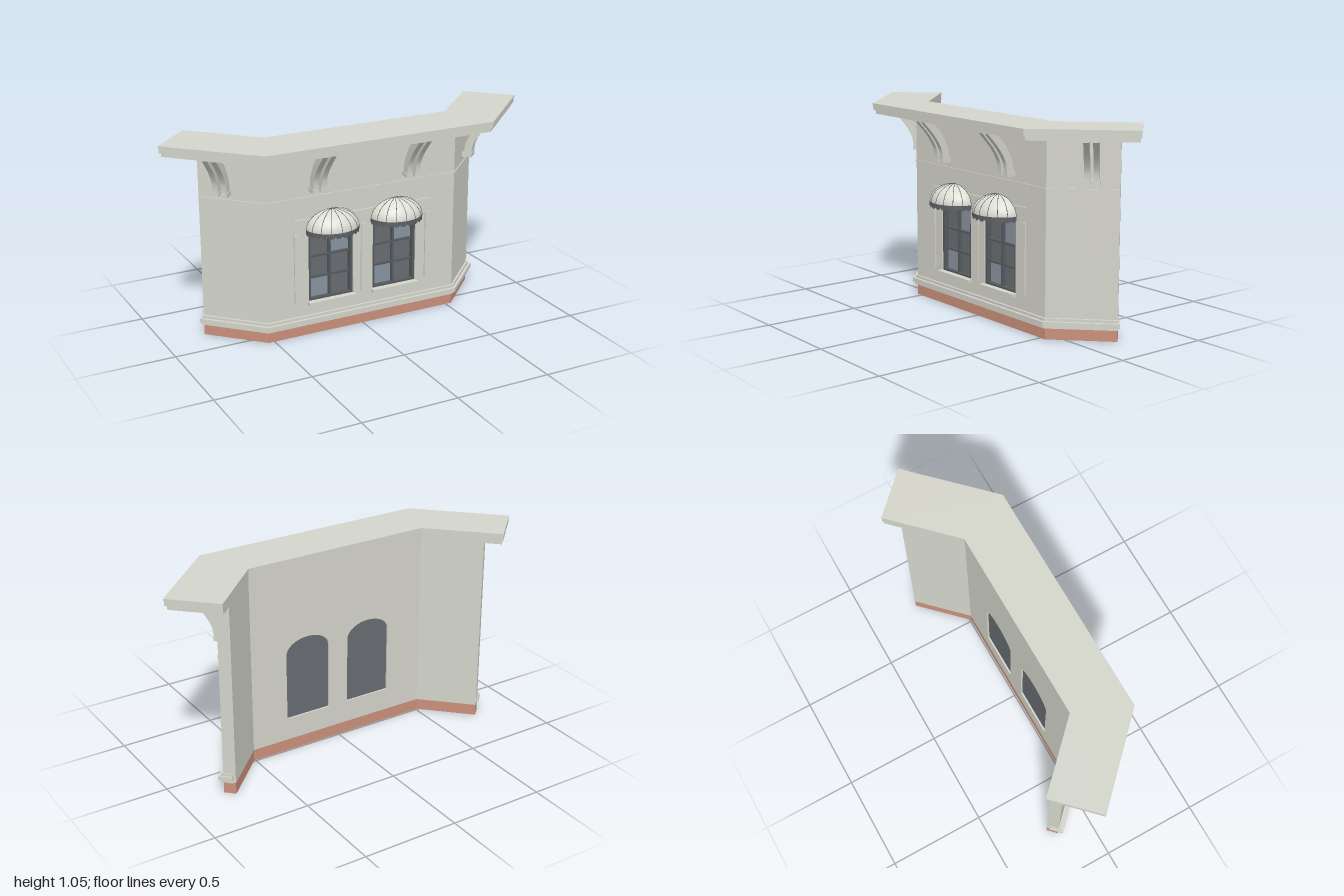
import * as THREE from 'three';

const mat = (name, color, side = THREE.FrontSide) => {
  const m = new THREE.MeshStandardMaterial({ color, side });
  m.name = name;
  return m;
};

// Footprint of the front wall face: straight centre and two wings at 45 degrees
const CORNER_X = 0.532, FRONT_Z = 0.069, END_DIFF = 0.956, THICK = 0.062;
const BACK_Z = FRONT_Z - THICK, R2 = Math.SQRT2;

// Points on the line offset d outwards, stretched e past the wing end
const cornerAt = d => [CORNER_X + d * Math.tan(Math.PI / 8), FRONT_Z + d];
const endAt = (d, e) => {
  const sum = CORNER_X + FRONT_Z + R2 * d, diff = END_DIFF + R2 * e;
  return [(sum + diff) / 2, (sum - diff) / 2];
};
const flip = ([x, z]) => [-x, z];

function plan(points, y0, y1) {
  const shape = new THREE.Shape(points.map(([x, z]) => new THREE.Vector2(x, -z)));
  return new THREE.ExtrudeGeometry(shape, { depth: y1 - y0, bevelEnabled: false })
    .rotateX(-Math.PI / 2).translate(0, y0, 0);
}

// Band following the whole footprint
function band(outer, inner, end, y0, y1) {
  const half = [cornerAt(outer), endAt(outer, end), endAt(inner, end), cornerAt(inner)];
  return plan([...half, ...half.map(flip).reverse()], y0, y1);
}

function archPath(Type, cx, hw, y0, spring, rise) {
  const p = new Type();
  p.moveTo(cx - hw, y0);
  p.lineTo(cx + hw, y0);
  p.lineTo(cx + hw, spring);
  p.absellipse(cx, spring, hw, rise, 0, Math.PI, false);
  p.lineTo(cx - hw, y0);
  return p;
}

const extrude = (shape, z0, z1) =>
  new THREE.ExtrudeGeometry(shape, { depth: z1 - z0, bevelEnabled: false, curveSegments: 20 }).translate(0, 0, z0);

const box = (x0, x1, y0, y1, z0, z1) =>
  new THREE.BoxGeometry(x1 - x0, y1 - y0, z1 - z0).translate((x0 + x1) / 2, (y0 + y1) / 2, (z0 + z1) / 2);

export function createModel() {
  const model = new THREE.Group();
  model.name = 'shopFacade';
  const plaster = mat('plaster', 0xd4d5cb);
  const awningCloth = mat('awningCloth', 0xdcddd3, THREE.DoubleSide);
  const brick = mat('brick', 0xcb907b);
  const glass = mat('glass', 0x686d71);
  const paleGlass = mat('paleGlass', 0x8894a0);
  const frame = mat('frame', 0x575b5f);
  const trim = mat('valanceCloth', 0x5e6165, THREE.DoubleSide);
  const add = (parent, name, geometry, material) => {
    const mesh = new THREE.Mesh(geometry, material);
    mesh.name = name;
    parent.add(mesh);
    return mesh;
  };

  // Base and walls
  add(model, 'brickBase', band(0, -THICK, 0, 0, 0.06), brick);
  const centre = new THREE.Shape([[-0.5, 0.06], [0.5, 0.06], [0.5, 0.994], [-0.5, 0.994]]
    .map(p => new THREE.Vector2(...p)));
  for (const s of [-1, 1]) centre.holes.push(archPath(THREE.Path, s * 0.181, 0.125, 0.18, 0.535, 0.08));
  add(model, 'centreWall', extrude(centre, BACK_Z, FRONT_Z), plaster);
  const wing = [[0.5, FRONT_Z], cornerAt(0), endAt(0, 0), endAt(-THICK, 0), cornerAt(-THICK), [0.5, BACK_Z]];
  add(model, 'leftWing', plan(wing, 0.06, 0.994), plaster);
  add(model, 'rightWing', plan(wing.map(flip), 0.06, 0.994), plaster);

  // Plinth mouldings, string course and roof slabs
  add(model, 'plinthLower', band(0.013, -0.047, 0.003, 0.058, 0.072), plaster);
  add(model, 'plinthMiddle', band(0.025, -0.047, 0.01, 0.072, 0.094), plaster);
  add(model, 'plinthUpper', band(0.011, -0.047, 0.003, 0.094, 0.108), plaster);
  add(model, 'stringCourse', band(0.005, -0.03, 0, 0.734, 0.741), plaster);
  add(model, 'corniceLower', band(0.2, -0.063, 0.09, 0.994, 1.014), plaster);
  add(model, 'corniceMiddle', band(0.212, -0.064, 0.096, 1.014, 1.04), plaster);
  add(model, 'roofSlab', band(0.215, -0.064, 0.098, 1.04, 1.05), plaster);

  // Thin wall trim around the windows
  for (const x of [-0.373, 0, 0.373])
    add(model, 'verticalStrip', box(x - 0.013, x + 0.013, 0.187, 0.55, FRONT_Z - 0.005, 0.077), plaster);
  add(model, 'lintelStrip', box(-0.385, 0.385, 0.617, 0.625, FRONT_Z - 0.005, 0.077), plaster);

  // Curved roof brackets, in pairs
  const v = ([a, b]) => new THREE.Vector2(a, b);
  const arm = new THREE.Shape();
  arm.moveTo(0.009, 0.785);
  arm.lineTo(0.048, 0.785);
  arm.splineThru([[0.058, 0.842], [0.1, 0.911], [0.167, 0.986]].map(v));
  arm.lineTo(0.182, 0.986);
  arm.lineTo(0.182, 0.996);
  arm.lineTo(0.128, 0.996);
  arm.splineThru([[0.059, 0.925], [0.017, 0.842], [0.009, 0.785]].map(v));
  const armGeo = new THREE.ExtrudeGeometry(arm, { depth: 0.028, bevelEnabled: false, curveSegments: 5 })
    .translate(0, 0, -0.014).rotateY(-Math.PI / 2);
  const footGeo = box(-0.017, 0.017, 0.767, 0.789, -0.003, 0.05);
  const along = 0.215 / R2;
  for (const s of [-1, 1]) {
    const spots = [[s * 0.2625, FRONT_Z, 0], [s * (CORNER_X + along), FRONT_Z - along, s * Math.PI / 4]];
    for (const [x, z, turn] of spots) {
      const pair = new THREE.Group();
      pair.name = 'bracketPair';
      pair.position.set(x, 0, z);
      pair.rotation.y = turn;
      for (const dx of [-0.0225, 0.0225]) {
        add(pair, 'bracketArm', armGeo, plaster).position.x = dx;
        add(pair, 'bracketFoot', footGeo, plaster).position.x = dx;
      }
      model.add(pair);
    }
  }

  // Scalloped valance hanging from the rim of the awning
  const RX = 0.14, RY = 0.094, RZ = 0.12, STEPS = 96, SCALLOPS = 12;
  const pos = [], index = [];
  for (let i = 0; i <= STEPS; i++) {
    const a = Math.PI * i / STEPS;
    const x = -1.015 * RX * Math.cos(a), z = 1.015 * RZ * Math.sin(a);
    const drop = 0.016 + 0.011 * Math.abs(Math.sin(a * SCALLOPS));
    pos.push(x, 0.002, z, x, -drop, z);
    if (i < STEPS) {
      const k = 2 * i;
      index.push(k, k + 1, k + 2, k + 2, k + 1, k + 3);
    }
  }
  const valanceGeo = new THREE.BufferGeometry();
  valanceGeo.setAttribute('position', new THREE.Float32BufferAttribute(pos, 3));
  valanceGeo.setIndex(index);
  valanceGeo.computeVertexNormals();
  const domeGeo = new THREE.SphereGeometry(1, 32, 12, 0, Math.PI, 0, Math.PI / 2).scale(RX, RY, RZ);

  // Windows with glazing bars, sill and dome awning
  for (const s of [-1, 1]) {
    const win = new THREE.Group();
    win.name = s > 0 ? 'leftWindow' : 'rightWindow';
    win.position.x = s * 0.181;
    add(win, 'glassPanel', extrude(archPath(THREE.Shape, 0, 0.125, 0.18, 0.535, 0.08), 0.016, 0.035), glass);
    const ring = archPath(THREE.Shape, 0, 0.125, 0.18, 0.535, 0.08);
    ring.holes.push(archPath(THREE.Path, 0, 0.11, 0.19, 0.535, 0.066));
    add(win, 'windowFrame', extrude(ring, 0.035, 0.062), frame);
    add(win, 'mullion', box(-0.006, 0.006, 0.19, 0.6, 0.035, 0.054), frame);
    for (const y of [0.3, 0.412, 0.535])
      add(win, 'glazingBar', box(-0.11, 0.11, y - 0.005, y + 0.005, 0.035, 0.053), frame);
    add(win, 'palePane', box(0.006, 0.11, 0.417, 0.53, 0.035, 0.038), paleGlass);
    add(win, 'palePane', box(-0.11, -0.006, 0.19, 0.295, 0.035, 0.038), paleGlass);
    add(win, 'sill', box(-0.132, 0.132, 0.164, 0.18, 0.035, 0.095), plaster);

    const awning = new THREE.Group();
    awning.name = 'awning';
    awning.position.set(0, 0.568, 0.077);
    add(awning, 'awningDome', domeGeo, awningCloth);
    add(awning, 'awningValance', valanceGeo, trim);
    for (let i = 0; i <= 8; i++) {
      const a = Math.PI * i / 8, pts = [];
      for (let j = 0; j <= 8; j++) {
        const t = Math.PI / 2 * j / 8;
        pts.push(new THREE.Vector3(RX * Math.cos(a) * Math.cos(t), RY * Math.sin(t), RZ * Math.sin(a) * Math.cos(t)));
      }
      add(awning, 'awningRib', new THREE.TubeGeometry(new THREE.CatmullRomCurve3(pts), 16, 0.0016, 5), frame);
    }
    win.add(awning);
    model.add(win);
  }
  return model;
}
